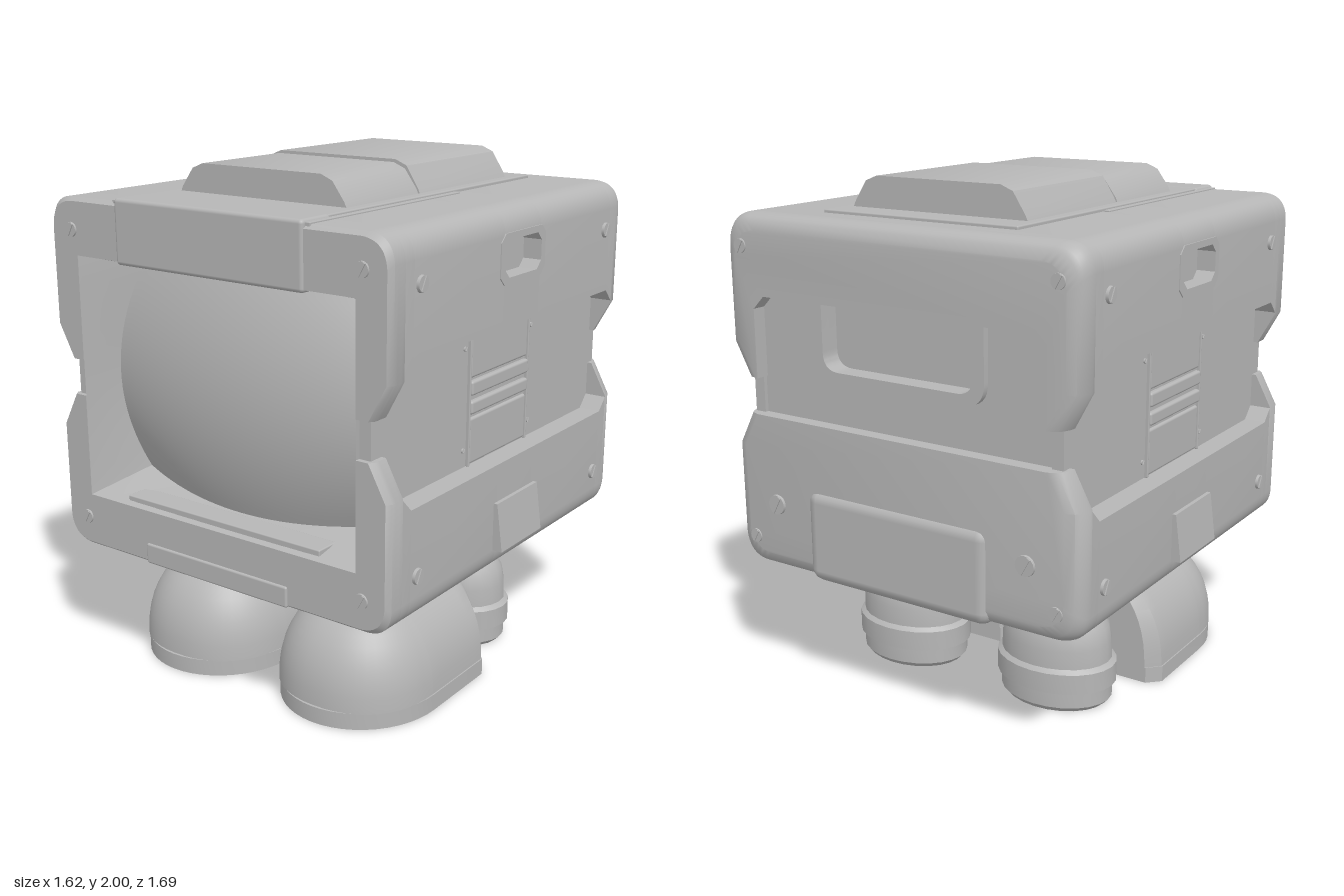
import * as THREE from 'three';
import { toCreasedNormals } from 'three/addons/utils/BufferGeometryUtils.js';
import { RoundedBoxGeometry } from 'three/addons/geometries/RoundedBoxGeometry.js';

const MID = 1.185; // height of the seam between the two shells
const grey = new THREE.MeshStandardMaterial({ color: 0xb6b6b6, side: THREE.DoubleSide });
grey.name = 'grey';

function add(parent, name, geometry, x = 0, y = 0, z = 0) {
  const mesh = new THREE.Mesh(geometry, grey);
  mesh.name = name;
  mesh.position.set(x, y, z);
  parent.add(mesh);
  return mesh;
}
// Box given by its limits
function block(parent, name, [x0, x1], [y0, y1], [z0, z1], r = 0.01) {
  return add(parent, name, new RoundedBoxGeometry(x1 - x0, y1 - y0, z1 - z0, 2, r),
    (x0 + x1) / 2, (y0 + y1) / 2, (z0 + z1) / 2);
}
const poly = (pts) => new THREE.Shape(pts.map(([x, y]) => new THREE.Vector2(x, y)));
const rect = (x0, x1, y0, y1) => poly([[x0, y0], [x1, y0], [x1, y1], [x0, y1]]);
function frame(outer, inner) {
  outer.holes.push(inner);
  return outer;
}
// Move the vertices of a geometry by a rule
function reshape(g, rule) {
  const p = g.attributes.position, v = new THREE.Vector3();
  for (let i = 0; i < p.count; i++) {
    rule(v.fromBufferAttribute(p, i));
    p.setXYZ(i, v.x, v.y, v.z);
  }
  return toCreasedNormals(g, 0.6);
}
// Extrude a shape between two depths
function slice(shape, z0, z1, rule = () => {}, steps = 1) {
  const g = new THREE.ExtrudeGeometry(shape, { depth: z1 - z0, steps, bevelEnabled: false, curveSegments: 12 });
  g.translate(0, 0, z0);
  return reshape(g, rule);
}

// Outline of the upper shell; the legs end at legY and the underside is free
function shellShape(legY, under, pocket = []) {
  const s = new THREE.Shape(), low = legY < 1.38;
  s.moveTo(low ? -0.7 : -0.77, legY);
  if (low) s.lineTo(-0.77, 1.385);
  pocket.forEach(([x, y]) => s.lineTo(-x, y));
  s.lineTo(-0.77, 1.77);
  s.quadraticCurveTo(-0.765, 1.865, -0.67, 1.87);
  s.lineTo(0.67, 1.87);
  s.quadraticCurveTo(0.765, 1.865, 0.77, 1.77);
  [...pocket].reverse().forEach(([x, y]) => s.lineTo(x, y));
  if (low) s.lineTo(0.77, 1.385);
  s.lineTo(low ? 0.7 : 0.77, legY);
  under.forEach(([x, y]) => s.lineTo(x, y));
  return s;
}
const arch = (y, pocket) => shellShape(y, [[0.635, y], [0.635, 1.655], [-0.635, 1.655], [-0.635, y]], pocket);
// Round the outer edge of a slice over the depth from zStart to zEnd
const roundEdge = (zStart, zEnd, r) => (v) => {
  const t = Math.min(1, Math.max(0, (v.z - zStart) / (zEnd - zStart)));
  const s = r * (1 - Math.sqrt(1 - t * t));
  if (Math.abs(v.x) > 0.66) v.x -= Math.sign(v.x) * s;
  if (v.y > 1.76) v.y -= s;
};
const cutCorner = (v) => {
  if (v.y < 1.45 && Math.abs(v.z) > 0.74) v.y = 1.39;
};

function shell(name, rearUnder, pocket) {
  const g = new THREE.Group();
  g.name = name;
  add(g, 'frontRim', slice(arch(1.255), 0.75, 0.83, roundEdge(0.81, 0.83, 0.015), 4));
  add(g, 'frontCorner', slice(arch(1.44), 0.7, 0.75, cutCorner));
  add(g, 'sideWallsFront', slice(arch(1.44), 0.13, 0.7));
  add(g, 'sideWallsMiddle', slice(arch(1.44, pocket), -0.13, 0.13));
  add(g, 'sideWallsRear', slice(arch(1.44), -0.7, -0.13));
  add(g, 'rearCorner', slice(arch(1.44), -0.75, -0.7, cutCorner));
  add(g, 'rearWall', slice(shellShape(1.255, rearUnder), -0.83, -0.75, roundEdge(-0.75, -0.83, 0.06), 6));
  return g;
}

// Bulging screen surface over u, v from -1 to 1
const screenPoint = (u, v) => [0.605 * u * (1 - 0.09 * v * v), MID + 0.452 * v * (1 - 0.11 * u * u),
  0.76 - 0.09 * (u * u + v * v)];

function screenGeometry() {
  const g = new THREE.PlaneGeometry(2, 2, 24, 24), p = g.attributes.position;
  for (let i = 0; i < p.count; i++) p.setXYZ(i, ...screenPoint(p.getX(i), p.getY(i)));
  g.computeVertexNormals();
  return g;
}
// Sloped surround from the rim opening to the edge of the screen
function bezelGeometry() {
  const pos = [], index = [], n = 12;
  for (let side = 0; side < 4; side++) {
    for (let i = 0; i <= n; i++) {
      const a = -1 + 2 * i / n;
      const [u, v] = [[a, -1], [1, a], [-a, 1], [-1, -a]][side];
      pos.push(0.635 * u, MID + 0.47 * v, 0.828, ...screenPoint(u, v));
      const k = (side * (n + 1) + i) * 2;
      if (i < n) index.push(k, k + 2, k + 1, k + 1, k + 2, k + 3);
    }
  }
  const g = new THREE.BufferGeometry();
  g.setAttribute('position', new THREE.Float32BufferAttribute(pos, 3));
  g.setIndex(index);
  g.computeVertexNormals();
  return g;
}

// Slotted screw head facing +z before turning
function screw(parent, x, y, z, turn, r = 0.032) {
  const g = new THREE.Group();
  g.name = 'screw';
  add(g, 'head', new THREE.CylinderGeometry(r * 0.9, r, 0.03, 16)).rotation.x = Math.PI / 2;
  add(g, 'slot', new THREE.BoxGeometry(r * 0.35, r * 1.7, 0.006), 0, 0, 0.016).rotation.z = -0.5;
  g.position.set(x, y, z);
  g.rotation.y = turn;
  parent.add(g);
}

// Details of one side; x runs along the body and z points outwards
function sideDetails(s) {
  const g = new THREE.Group();
  g.name = s > 0 ? 'leftSide' : 'rightSide';
  g.rotation.y = s * Math.PI / 2;
  for (const [y0, y1] of [[0.935, 1.11], [1.26, 1.435]])
    block(g, 'centrePanel', [-0.205, 0.205], [y0, y1], [0.66, 0.692]);
  for (const [y0, y1] of [[1.125, 1.175], [1.195, 1.25]])
    block(g, 'ventBar', [-0.205, 0.205], [y0, y1], [0.66, 0.7]);
  for (const x of [-0.21, 0.21]) block(g, 'panelEdge', [x - 0.005, x + 0.005], [0.93, 1.44], [0.66, 0.695], 0.003);
  const c = 0.03;
  const outline = (w, y0, y1) => poly([[-w + c, y0], [w - c, y0], [w, y0 + c], [w, y1 - c], [w - c, y1],
    [-w + c, y1], [-w, y1 - c], [-w, y0 + c]]);
  add(g, 'pocketFrame', slice(frame(outline(0.16, 1.595, 1.78), outline(0.13, 1.62, 1.755)), 0.7, 0.774));
  // Lower latch leans outwards towards its base
  add(g, 'lowerLatch', slice(rect(-0.15, 0.15, 0.6, 0.785), 0.74, 0.81, (v) => {
    if (v.z > 0.8 && v.y > 0.7) v.z = 0.785;
  }));
  for (const x of [-0.66, 0.66]) for (const y of [0.68, 1.69]) screw(g, x, y, 0.766, 0);
  for (const x of [-0.237, 0.237]) for (const y of [0.995, 1.375]) screw(g, x, y, 0.673, 0, 0.01);
  return g;
}

// Foot: rounded toe, straight instep, flat sole and a separate round heel
function foot(s) {
  const g = new THREE.Group();
  g.name = s > 0 ? 'leftFoot' : 'rightFoot';
  const full = (c) => Math.sign(c) * Math.abs(c) ** 0.9; // fuller than an ellipse
  const dome = (v) => v.set(0.315 * full(v.x), 0.063 + 0.365 * full(v.y), v.z);
  const toe = new THREE.SphereGeometry(1, 24, 12, 0, Math.PI, 0, Math.PI / 2);
  add(g, 'toe', reshape(toe, (v) => { dome(v).z = 0.37 + 0.33 * full(v.z); }));
  const section = new THREE.Shape();
  section.absarc(0, 0, 1, 0, Math.PI);
  add(g, 'instep', slice(section, -0.03, 0.37, (v) => {
    dome(v);
    if (v.z < 0) v.x *= 0.84;
  }, 8));
  const plan = new THREE.Shape();
  plan.moveTo(-0.27, 0.03);
  plan.lineTo(0.27, 0.03);
  plan.lineTo(0.32, -0.02);
  plan.lineTo(0.32, -0.37);
  plan.absellipse(0, -0.37, 0.32, 0.34, 0, Math.PI, true);
  plan.lineTo(-0.32, -0.02);
  const sole = slice(plan, 0, 0.065);
  sole.rotateX(-Math.PI / 2);
  add(g, 'sole', sole);
  const profile = [[0, 0], [0.165, 0], [0.18, 0.02], [0.18, 0.08], [0.193, 0.085], [0.193, 0.165], [0.178, 0.18],
    [0.176, 0.25], [0.167, 0.31], [0.143, 0.36], [0.1, 0.388], [0, 0.395]].map(([x, y]) => new THREE.Vector2(x, y));
  const heel = toCreasedNormals(new THREE.LatheGeometry(profile, 24), 0.6);
  heel.scale(1.28, 1, 1);
  add(g, 'heel', heel, 0, 0, -0.267);
  block(g, 'heelLink', [-0.08, 0.08], [0.12, 0.3], [-0.12, 0]);
  add(g, 'ankle', new THREE.CylinderGeometry(0.075, 0.075, 0.12, 16), 0, 0.42, -0.27);
  g.position.x = s * 0.347;
  return g;
}

// Window outline with a square top and rounded lower corners
function windowShape(w, y0, y1, r) {
  const s = new THREE.Shape();
  s.moveTo(-w, y1);
  s.lineTo(-w, y0 + r);
  s.quadraticCurveTo(-w, y0, -w + r, y0);
  s.lineTo(w - r, y0);
  s.quadraticCurveTo(w, y0, w, y0 + r);
  s.lineTo(w, y1);
  return s;
}

export function createModel() {
  const model = new THREE.Group();
  model.name = 'boxRobot';

  // Body shells and the inner core seen in the side recesses
  model.add(shell('upperShell', [[0.63, 1.255], [0.63, 1.52], [0.58, 1.57], [-0.58, 1.57], [-0.63, 1.52], [-0.63, 1.255]],
    [[0.77, 1.61], [0.7, 1.61], [0.7, 1.765], [0.77, 1.765]]));
  const lower = shell('lowerShell', [], []);
  lower.rotation.z = Math.PI;
  lower.position.y = 2 * MID;
  model.add(lower);
  add(model, 'core', slice(frame(rect(-0.682, 0.682, 0.6, 1.77), rect(-0.636, 0.636, 0.714, 1.656)), -0.79, 0.81));

  // Rear recess with its window and the lower hatch
  add(model, 'rearPanel', slice(frame(rect(-0.68, 0.68, 0.65, 1.72), windowShape(0.33, 1.32, 1.56, 0.07)), -0.775, -0.7));
  add(model, 'rearWindowRim', slice(frame(windowShape(0.375, 1.28, 1.575, 0.09), windowShape(0.33, 1.32, 1.57, 0.07)), -0.8, -0.76));
  block(model, 'rearWindow', [-0.4, 0.4], [1.2, 1.65], [-0.72, -0.66]);
  block(model, 'rearHatch', [-0.41, 0.41], [0.497, 0.865], [-0.845, -0.6], 0.05);

  // Screen and surround
  add(model, 'screen', screenGeometry());
  add(model, 'bezel', bezelGeometry());
  block(model, 'screenLedge', [-0.46, 0.46], [0.712, 0.742], [0.7, 0.8], 0.005);
  block(model, 'chinPlate', [-0.34, 0.34], [0.505, 0.585], [0.76, 0.838], 0.008);

  // Roof strip, brow and the two raised roof blocks
  block(model, 'roofStrip', [-0.42, 0.42], [1.82, 1.883], [-0.66, 0.8], 0.006);
  block(model, 'brow', [-0.428, 0.428], [1.643, 1.885], [0.68, 0.838], 0.015);
  const roofBlock = (x, top) => poly([[-0.385, 1.87], [0.385, 1.87], [0.372, 1.9], [x + 0.02, top - 0.02], [x - 0.03, top],
    [-x + 0.03, top], [-x - 0.02, top - 0.02], [-0.372, 1.9]]);
  add(model, 'roofBlockFront', slice(roofBlock(0.3, 1.99), 0.092, 0.533));
  add(model, 'roofBlockRear', slice(roofBlock(0.3, 2), -0.538, 0.082));

  // Side details, screws and feet
  for (const s of [-1, 1]) {
    model.add(sideDetails(s));
    block(model, 'roofRail', [s * 0.435 - 0.012, s * 0.435 + 0.012], [1.84, 1.876], [-0.09, 0.82], 0.003);
    for (const y of [0.62, 1.75]) {
      screw(model, s * 0.66, y, 0.822, 0, 0.03);
      screw(model, s * 0.68, y, -0.82, Math.PI, 0.03);
    }
    screw(model, s * 0.56, 0.77, -0.825, Math.PI, 0.042);
    model.add(foot(s));
  }

  // Hips under the body
  const hip = slice(frame(rect(-0.49, 0.49, -0.57, 0.455), rect(-0.4, 0.4, -0.1, 0.38)), 0.43, 0.52, (v) => {
    if (v.z < 0.44) v.x *= 0.95;
  }, 3);
  hip.rotateX(-Math.PI / 2);
  add(model, 'hipFrame', hip);
  block(model, 'hipPlate', [-0.45, 0.45], [0.47, 0.53], [-0.42, 0.5]);
  block(model, 'hipBar', [-0.17, 0.17], [0.372, 0.5], [-0.36, -0.04]);
  return model;
}
